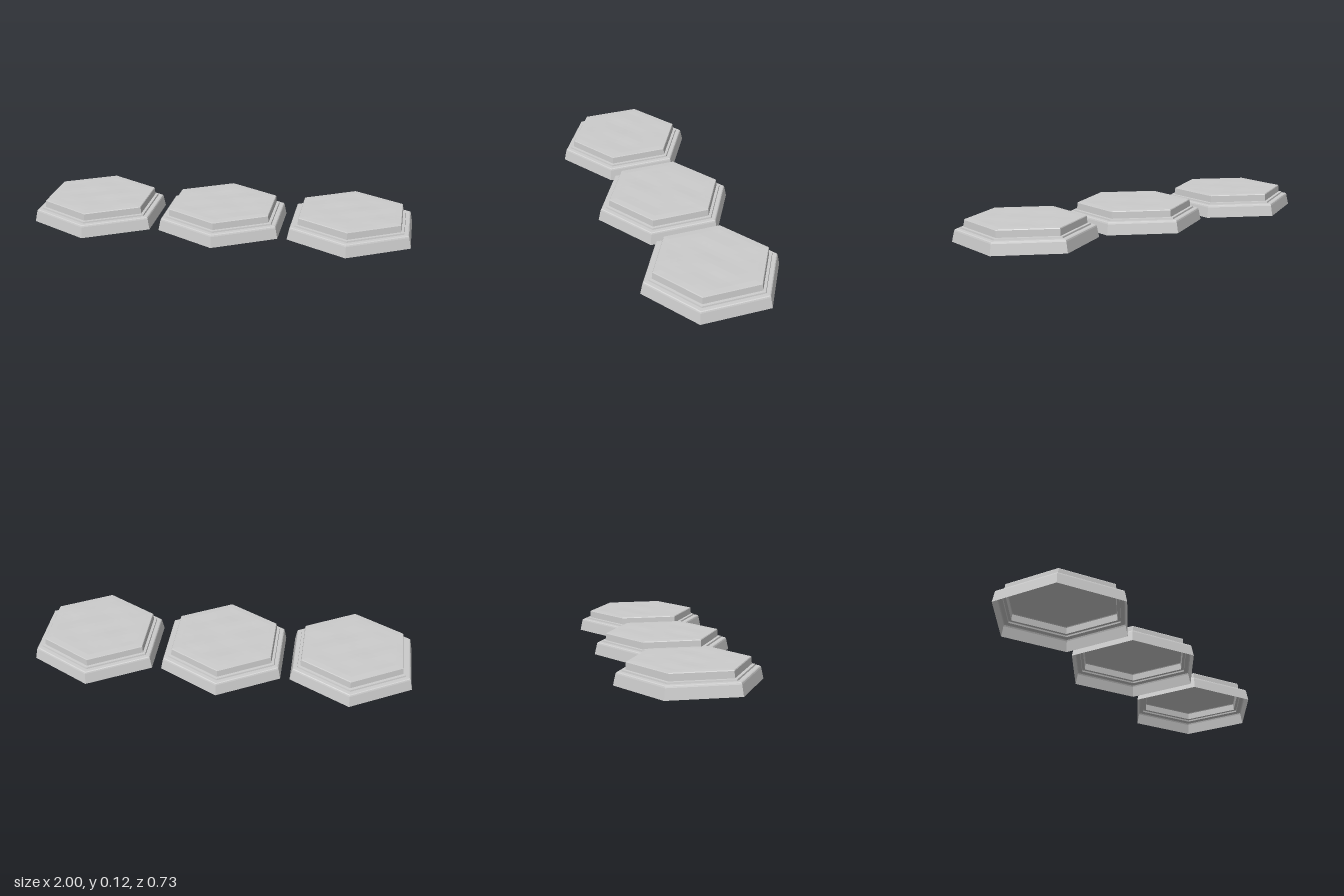
import * as THREE from 'three';

// Gentle stone unevenness, fading to nothing at the rim
function unevenness(x, z, seed) {
  return 0.0012 * (Math.sin(23 * x + seed) * Math.cos(19 * z - seed) + 0.5 * Math.sin(41 * z + 17 * x + 2 * seed));
}

// Hexagonal slab surface made of concentric rings of triangles
function hexTop(radius, y, seed, rings = 8) {
  const positions = [];
  const corner = (i) => new THREE.Vector2(Math.sin(i * Math.PI / 3), Math.cos(i * Math.PI / 3));
  for (let s = 0; s < 6; s++) {
    const a = corner(s), b = corner(s + 1);
    const add = (i, j) => {
      const x = radius * (a.x * i + b.x * j) / rings;
      const z = radius * (a.y * i + b.y * j) / rings;
      const fade = 1 - (i + j) / rings;
      const lift = fade > 0 ? 0.0015 + Math.min(1, fade * 3) * unevenness(x, z, seed) : 0;
      positions.push(x, y + lift, z);
    };
    for (let i = 0; i < rings; i++) {
      for (let j = 0; i + j < rings; j++) {
        add(i, j); add(i + 1, j); add(i, j + 1);
        if (i + j < rings - 1) { add(i + 1, j); add(i + 1, j + 1); add(i, j + 1); }
      }
    }
  }
  const geometry = new THREE.BufferGeometry();
  geometry.setAttribute('position', new THREE.Float32BufferAttribute(positions, 3));
  geometry.computeVertexNormals();
  return geometry;
}

export function createModel() {
  const stone = new THREE.MeshStandardMaterial({ color: 0xcccccc, flatShading: true, side: THREE.DoubleSide });
  stone.name = 'pale grey stone';

  // Stepped moulding, open underneath: [corner radius, height]
  const profile = [
    [0.366, 0], [0.354, 0.055], [0.351, 0.062], [0.346, 0.065],
    [0.325, 0.066], [0.323, 0.074], [0.307, 0.075], [0.304, 0.109], [0.301, 0.113],
  ].map(([r, y]) => new THREE.Vector2(r, y));
  const moulding = new THREE.LatheGeometry(profile, 6);

  const model = new THREE.Group();
  model.name = 'hexagonalPlinths';
  ['right', 'middle', 'left'].forEach((side, i) => {
    const plinth = new THREE.Group();
    plinth.name = side + 'Plinth';
    plinth.position.x = (i - 1) * 0.683;

    const base = new THREE.Mesh(moulding, stone);
    base.name = 'steppedBase';
    const top = new THREE.Mesh(hexTop(0.301, 0.113, i * 1.7), stone);
    top.name = 'stoneTop';
    plinth.add(base, top);
    model.add(plinth);
  });
  return model;
}
